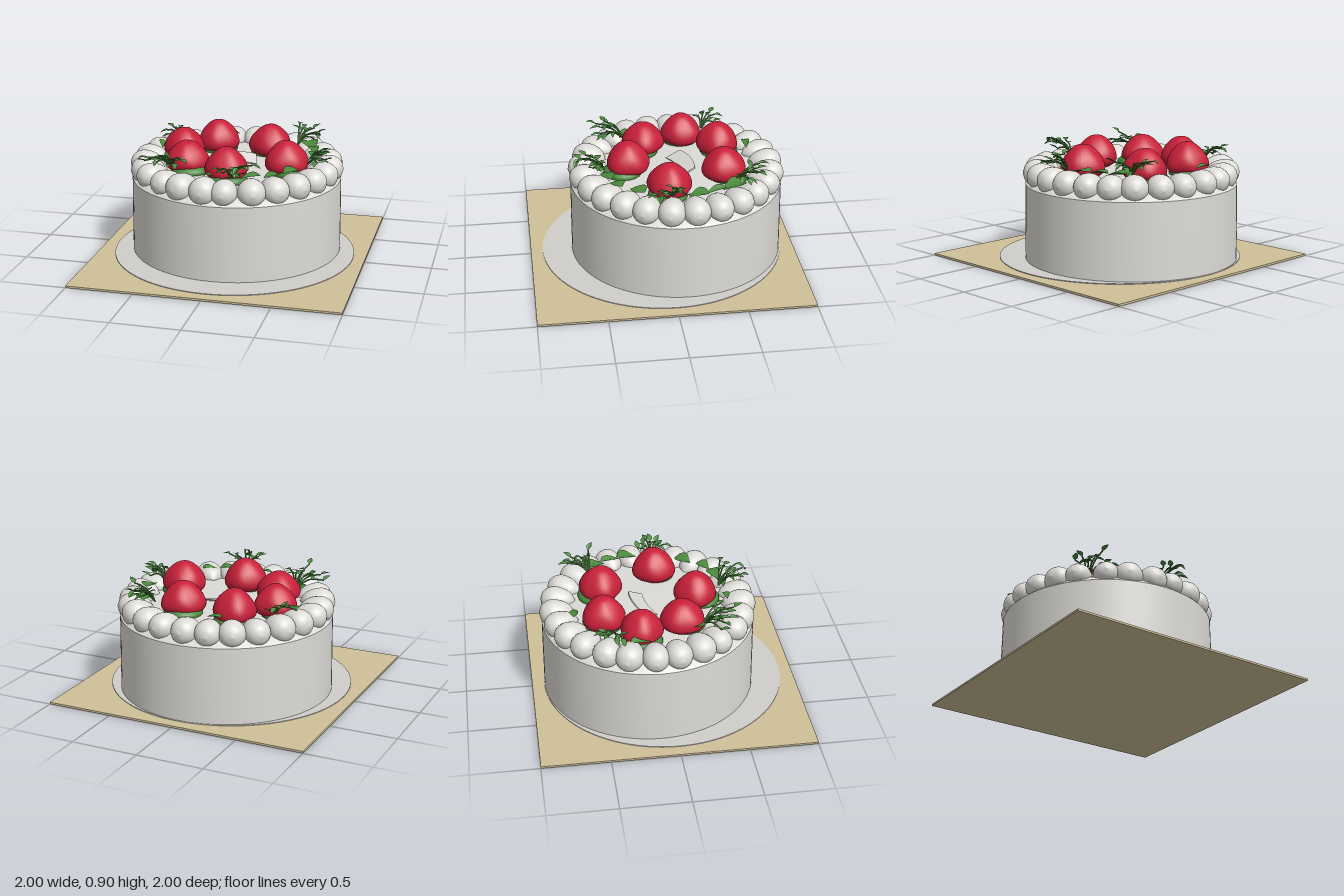
import * as THREE from 'three';

const mat = (name, color, extra = {}) => {
  const m = new THREE.MeshStandardMaterial({ color, ...extra });
  m.name = name;
  return m;
};

// Smooth lathe from a few bottom-to-top profile points
const lathe = (pts, steps, segs) => new THREE.LatheGeometry(
  new THREE.SplineCurve(pts.map(p => new THREE.Vector2(...p))).getPoints(steps)
    .map(p => new THREE.Vector2(Math.max(0, p.x), p.y)), segs);

// Move every vertex by a rule
function warp(geo, rule) {
  const p = geo.attributes.position, v = new THREE.Vector3();
  for (let i = 0; i < p.count; i++) {
    rule(v.fromBufferAttribute(p, i));
    p.setXYZ(i, v.x, v.y, v.z);
  }
  geo.computeVertexNormals();
  return geo;
}

export function createModel() {
  const root = new THREE.Group();
  root.name = 'strawberryCake';
  const tan = mat('board tan', 0xd0c09a);
  const paper = mat('paper white', 0xd0cecb);
  const cream = mat('cream', 0xdddbd7);
  const red = mat('berry red', 0xc8203a);
  const green = mat('leaf green', 0x4a8a3c, { side: THREE.DoubleSide });

  let seed = 7;
  const rand = (a, b) => {
    seed = (seed * 16807) % 2147483647;
    return a + (b - a) * seed / 2147483647;
  };
  const add = (parent, name, geo, material, x = 0, y = 0, z = 0) => {
    const m = new THREE.Mesh(geo, material);
    m.name = name;
    m.position.set(x, y, z);
    parent.add(m);
    return m;
  };

  // Square board with round paper
  add(root, 'board', new THREE.BoxGeometry(2, 0.015, 2), tan, 0, 0.0075, 0);
  add(root, 'paperDisc', new THREE.CylinderGeometry(0.91, 0.91, 0.005, 96), paper, 0, 0.0175, 0);

  // Cake body with a shallow shoulder and flat top
  const cake = new THREE.Group();
  cake.name = 'cake';
  cake.position.set(-0.01, 0, -0.11);
  root.add(cake);
  const side = [[0.795, 0.015], [0.793, 0.3], [0.79, 0.585]];
  add(cake, 'cakeSide', new THREE.LatheGeometry(side.map(p => new THREE.Vector2(...p)), 96), cream);
  const top = [[0.79, 0.585], [0.72, 0.645], [0.58, 0.662], [0, 0.665]];
  add(cake, 'cakeTop', new THREE.LatheGeometry(top.map(p => new THREE.Vector2(...p)), 96), cream);

  // Piped cream dollops: round outside, tapering inward
  const dollop = lathe([[0, -0.108], [0.06, -0.088], [0.094, -0.04], [0.1, 0.01],
    [0.084, 0.075], [0.05, 0.125], [0, 0.155]], 18, 24);
  dollop.rotateX(-Math.PI / 2);
  const ring = new THREE.Group();
  ring.name = 'creamBorder';
  cake.add(ring);
  const count = 25;
  for (let i = 0; i < count; i++) {
    const a = (i + 0.5) / count * Math.PI * 2 + rand(-0.02, 0.02);
    const d = add(ring, 'creamDollop', dollop, cream, Math.sin(a) * 0.7, 0.665, Math.cos(a) * 0.7);
    d.rotation.set(rand(-0.06, 0.06), a + rand(-0.1, 0.1), 0, 'YXZ');
    const s = rand(0.94, 1.06);
    d.scale.set(s, s * 0.98, 1);
  }

  // Strawberries: x, z, turn, radius scale, height scale, calyx direction (x, z)
  const berries = [
    [-0.24, -0.46, 0.3, 0.97, 1.0, 0, -0.3],
    [0.18, -0.44, 1.4, 1.0, 0.98, -0.3, -0.7],
    [0.39, -0.01, 2.3, 1.0, 1.0, 0.8, 0.4],
    [0.0, 0.25, 3.6, 0.98, 1.0, 0.4, 0.9],
    [-0.34, 0.1, 4.4, 1.0, 0.93, 0.7, 0.75],
    [-0.45, -0.21, 5.2, 0.95, 0.96, -0.9, 0.1],
  ];
  const berryGeo = warp(lathe([[0, 0], [0.09, 0.002], [0.147, 0.035], [0.162, 0.08],
    [0.143, 0.14], [0.1, 0.195], [0.05, 0.233], [0, 0.243]], 24, 36), v => {
    const a = Math.atan2(v.z, v.x);
    const k = 1 + 0.035 * Math.sin(3 * a + 9 * v.y) + 0.02 * Math.sin(5 * a - 14 * v.y);
    v.x *= k;
    v.z *= k;
  });
  const calyxGeo = new THREE.SphereGeometry(1, 20, 12);
  for (const [x, z, turn, r, h, cx, cz] of berries) {
    const b = add(root, 'strawberry', berryGeo, red, x, 0.66, z);
    b.rotation.y = turn;
    b.scale.set(r, h, r);
    const c = add(root, 'calyx', calyxGeo, green, x + cx * 0.045, 0.675, z + cz * 0.045);
    c.scale.set(0.145, 0.06, 0.145);
  }

  // Folded, drooping leaf from its base toward +z
  const leafGeo = warp(new THREE.PlaneGeometry(1, 1, 4, 8).rotateX(-Math.PI / 2), v => {
    const t = v.z + 0.5;
    v.x *= Math.sin(Math.PI * Math.pow(t, 0.7)) + 0.03;
    v.y = 0.25 * Math.abs(v.x) - 0.18 * t * t;
    v.z = t;
  });
  const leaf = (x, y, z, len, width, yaw, pitch = 0) => {
    const l = add(root, 'leaf', leafGeo, green, x, y, z);
    l.rotation.set(-pitch, yaw, 0, 'YXZ');
    l.scale.set(width, len, len);
  };

  // Broad leaves lying on the border: centre x, z, length, width, yaw
  const broad = [
    [0.58, -0.2, 0.15, 0.12, 0.1], [0.54, -0.33, 0.16, 0.08, 0.3], [0.48, -0.47, 0.19, 0.14, 0.4],
    [0.47, 0.23, 0.13, 0.13, -0.7], [0.36, 0.37, 0.12, 0.1, -0.9], [0.22, 0.43, 0.15, 0.1, -1.2],
    [0.1, 0.47, 0.11, 0.07, -1.5], [-0.09, 0.47, 0.08, 0.05, -1.5], [-0.62, -0.24, 0.15, 0.08, 0.1],
    [-0.45, 0.22, 0.13, 0.1, 0.6], [-0.18, -0.67, 0.12, 0.06, 1.5],
  ];
  for (const [x, z, len, w, yaw] of broad)
    leaf(x - Math.sin(yaw) * len / 2, 0.75, z - Math.cos(yaw) * len / 2, len, w, yaw, 0.08);

  // Wispy sprigs: base x, z, heading, reach, tip height, shoots
  const sprigs = [
    [0.55, -0.01, 1.5, 0.15, 0.84, 7],
    [-0.42, 0.24, -0.2, 0.2, 0.86, 8],
    [0.08, 0.44, 0.5, 0.18, 0.87, 7],
    [0.38, -0.5, 2.4, 0.17, 0.85, 8],
    [-0.52, -0.38, -2.3, 0.12, 0.83, 5],
  ];
  for (const [x, z, heading, reach, tipY, shoots] of sprigs) {
    for (let i = 0; i < shoots; i++) {
      const a = heading + (i / (shoots - 1) - 0.5) * 1.7;
      const r = reach * rand(0.6, 1.1), y = 0.76 + (tipY - 0.76) * rand(0.2, 1);
      const at = (f, h) => new THREE.Vector3(x + Math.sin(a) * r * f, h, z + Math.cos(a) * r * f);
      const tip = at(1, y);
      const curve = new THREE.CatmullRomCurve3([at(0, 0.73), at(0.5, (y + 0.77) / 2 + 0.015), tip]);
      add(root, 'sprigStem', new THREE.TubeGeometry(curve, 8, 0.006, 5), green);
      leaf(tip.x, tip.y, tip.z, 0.07, 0.04, a + rand(-0.8, 0.8), rand(-0.5, 0.7));
      const mid = curve.getPoint(0.6);
      leaf(mid.x, mid.y, mid.z, 0.06, 0.03, a + rand(-1.5, 1.5), rand(-0.2, 0.6));
    }
  }

  // Curved chip leaning on the cake top
  const chip = add(root, 'creamChip', warp(new THREE.BoxGeometry(0.31, 0.012, 0.12, 12, 1, 1), v => {
    v.z += 1.2 * v.x * v.x - 0.01;
  }), cream, -0.03, 0.695, -0.165);
  chip.rotation.set(0.4, 0.24, 0, 'YXZ');

  return root;
}
